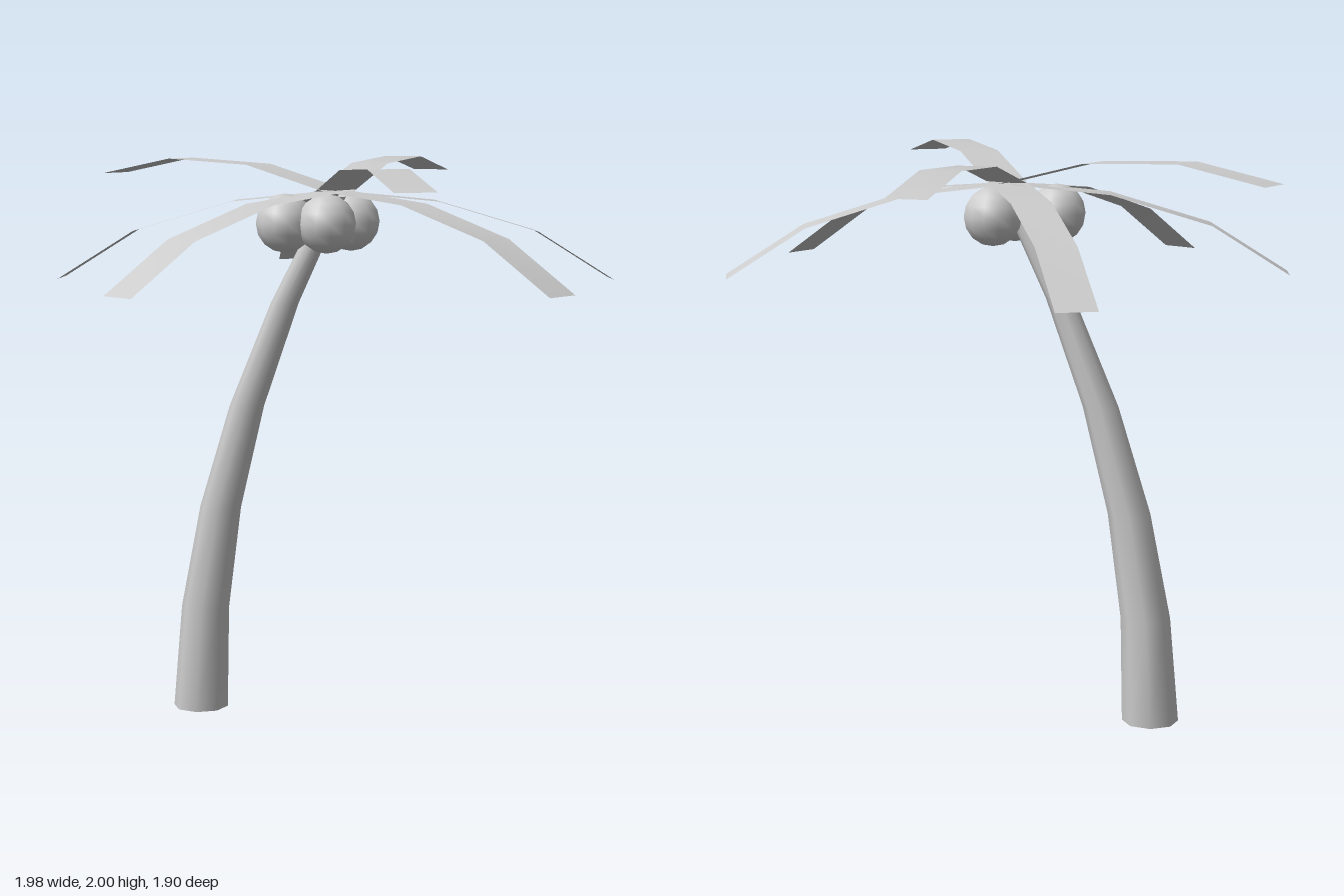
import * as THREE from 'three';
import { toCreasedNormals } from 'three/addons/utils/BufferGeometryUtils.js';

const CROWN = { x: 0.01, y: 1.9, z: -0.034 };
const BASE = { x: -0.44, z: 0.24 };
const FROND_WIDTH = 0.14;

// Frond profiles: [distance from crown, height]
const DROOPING = [[0, CROWN.y], [0.355, 1.865], [0.705, 1.76], [0.976, 1.59]];
const RAISED = [[0, CROWN.y], [0.34, 1.985], [0.7, 2.0], [1.02, 1.94]];

const material = new THREE.MeshStandardMaterial({ color: 0xcccccc });
const leafMaterial = new THREE.MeshStandardMaterial({ color: 0xcccccc, side: THREE.DoubleSide });

// Tapered cylinder whose horizontal rings follow a parabola up to the crown
function createTrunk() {
  const height = 1.88;
  const geometry = new THREE.CylinderGeometry(0.037, 0.1, height, 8, 5);
  geometry.translate(0, height / 2, 0);
  const p = geometry.attributes.position;
  for (let i = 0; i < p.count; i++) {
    const t = (p.getY(i) / height) ** 2;
    p.setX(i, p.getX(i) + THREE.MathUtils.lerp(BASE.x, CROWN.x, t));
    p.setZ(i, p.getZ(i) + THREE.MathUtils.lerp(BASE.z, CROWN.z, t));
  }
  const trunk = new THREE.Mesh(toCreasedNormals(geometry, 1.0), material);
  trunk.name = 'trunk';
  return trunk;
}

// Flat strip bent along its profile, pointing along +x before it is turned
function createFrond(profile, degrees) {
  const geometry = new THREE.PlaneGeometry(1, FROND_WIDTH, profile.length - 1, 1);
  geometry.rotateX(-Math.PI / 2);
  const p = geometry.attributes.position;
  for (let i = 0; i < p.count; i++) {
    const [r, y] = profile[i % profile.length];
    p.setXYZ(i, r, y, p.getZ(i));
  }
  geometry.computeVertexNormals();
  const frond = new THREE.Mesh(geometry, leafMaterial);
  frond.name = 'frond';
  frond.position.set(CROWN.x, 0, CROWN.z);
  frond.rotation.y = -THREE.MathUtils.degToRad(degrees);
  return frond;
}

export function createModel() {
  const palm = new THREE.Group();
  palm.name = 'palmTree';
  palm.add(createTrunk());

  const fronds = new THREE.Group();
  fronds.name = 'fronds';
  for (const a of [-10.2, 84.5, 134.5, 209.7, 304.7]) fronds.add(createFrond(DROOPING, a));
  for (const a of [24.6, 164.8, 240]) fronds.add(createFrond(RAISED, a));
  palm.add(fronds);

  // Coconuts clustered under the crown
  const coconuts = new THREE.Group();
  coconuts.name = 'coconuts';
  const sphere = new THREE.SphereGeometry(0.103, 12, 8);
  for (const [x, z] of [[-0.07, 0.125], [0.055, 0.04], [0, -0.112]]) {
    const nut = new THREE.Mesh(sphere, material);
    nut.name = 'coconut';
    nut.position.set(x, 1.79, z);
    coconuts.add(nut);
  }
  palm.add(coconuts);
  return palm;
}
